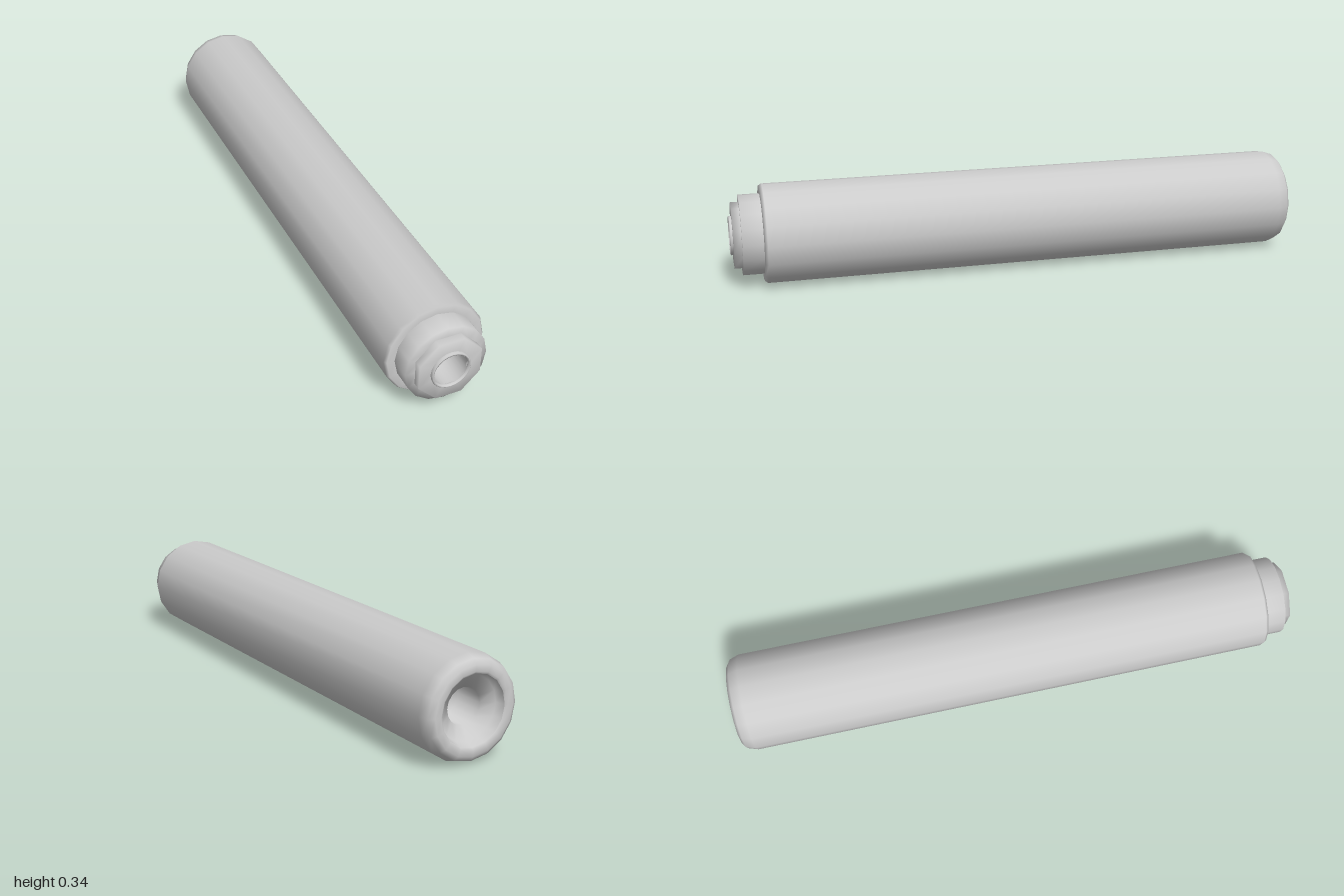
import * as THREE from 'three';

const RADIUS = 0.171;

// Smooth turned part along z; profile is [radius, z] from back to front.
function turned(name, profile, sides, turn = 0) {
  const points = profile.map(([r, z]) => new THREE.Vector2(r, z));
  const geometry = new THREE.LatheGeometry(points, sides, turn);
  geometry.rotateX(Math.PI / 2);
  const material = new THREE.MeshStandardMaterial({ color: 0xcccccc, side: THREE.DoubleSide });
  const mesh = new THREE.Mesh(geometry, material);
  mesh.name = name;
  mesh.position.y = RADIUS;
  return mesh;
}

export function createModel() {
  const group = new THREE.Group();
  group.name = 'barrelTube';

  // Blind bore and flared recess in the back end
  group.add(turned('backRecess', [
    [0, -0.84], [0.06, -0.84], [0.06, -0.945], [0.105, -0.965], [0.115, -0.995],
  ], 16));

  // Long body with a rounded back rim and a small front bevel
  group.add(turned('body', [
    [0.115, -0.995], [0.122, -1], [0.143, -1], [0.16, -0.988], [RADIUS, -0.955],
    [RADIUS, 0.882], [0.164, 0.892], [0.138, 0.892],
  ], 16));

  // Round shoulder
  group.add(turned('collar', [
    [0.138, 0.892], [0.138, 0.963], [0.1, 0.963],
  ], 16));

  // Eight-sided nut with flats on top and sides
  group.add(turned('nut', [
    [0.1135, 0.96], [0.1135, 0.99], [0.06, 0.99],
  ], 8, Math.PI / 8));

  // Front lip and its blind bore
  group.add(turned('frontLip', [
    [0.067, 0.988], [0.067, 0.997], [0.064, 1], [0.06, 1], [0.058, 0.993],
  ], 24));
  group.add(turned('frontBore', [
    [0.058, 0.993], [0.058, 0.86], [0, 0.86],
  ], 24));

  return group;
}
